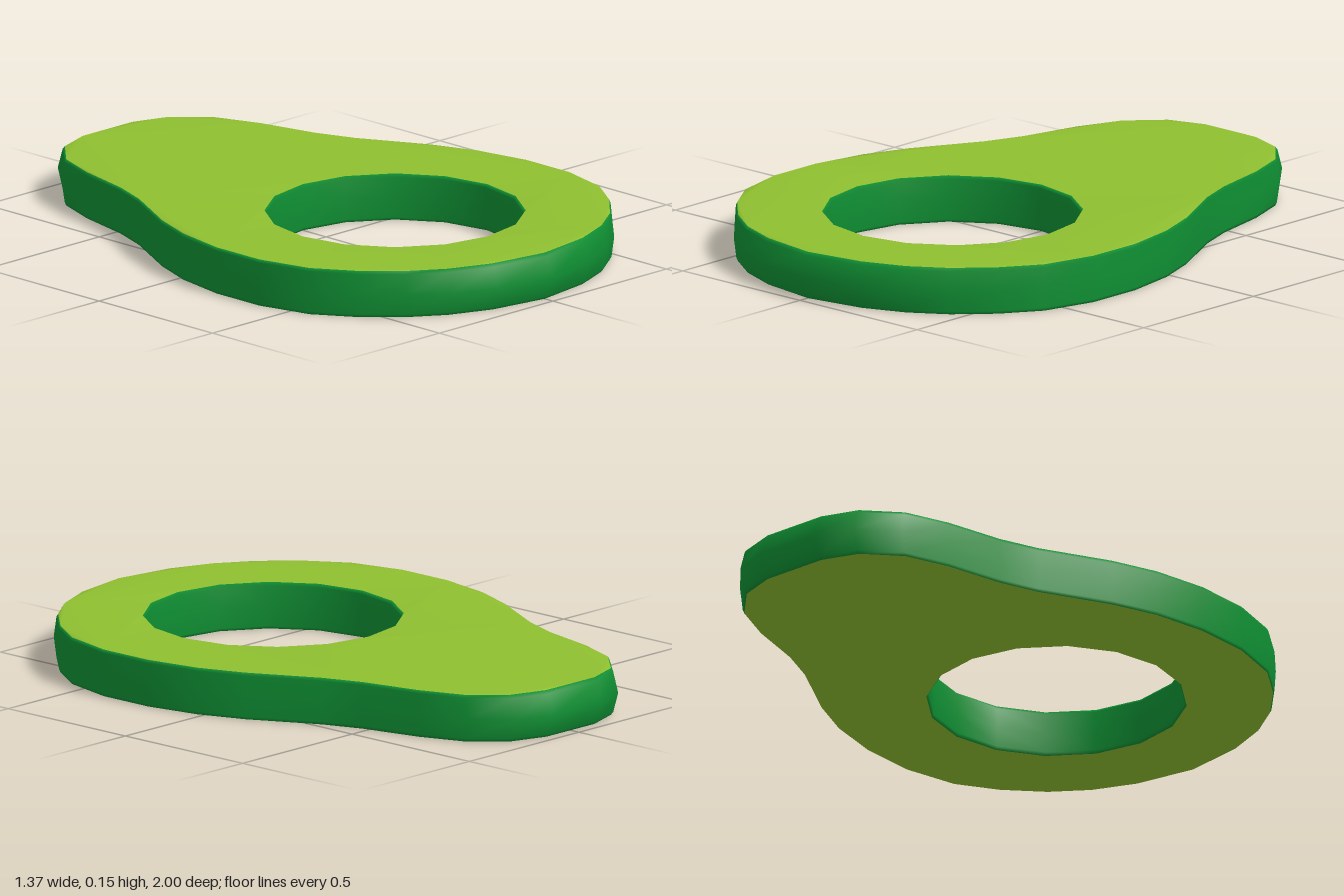
import * as THREE from 'three';

const flesh = new THREE.MeshStandardMaterial({ color: 0x8fbf30 });
flesh.name = 'lime flesh';
const skin = new THREE.MeshStandardMaterial({ color: 0x0f8f33 });
skin.name = 'green skin';

// Right half of the pear outline as [x, z], from the back to the front
const half = [
  [0.11, -1], [0.23, -0.953], [0.33, -0.835], [0.385, -0.68], [0.43, -0.48],
  [0.478, -0.35], [0.595, -0.13], [0.652, 0.02], [0.686, 0.2], [0.686, 0.39],
  [0.642, 0.57], [0.56, 0.7], [0.455, 0.815], [0.34, 0.9], [0.2, 0.963],
];
const outline = [...half, [0, 1], ...half.slice().reverse().map(([x, z]) => [-x, z])];

// Wall sections: [height, side inset, pull at both ends, hole radius]
const sections = [
  [0, 0.006, 0.036, 0.407],
  [0.01, 0, 0.026, 0.4],
  [0.075, 0, 0, 0.4],
  [0.14, 0, 0.026, 0.4],
  [0.15, 0.006, 0.036, 0.407],
];
const HOLE_SIDES = 16, HOLE_Z = 0.304;

function outerRing([, inset, pull]) {
  return outline.map(([x, z]) => new THREE.Vector2(
    x * (1 - inset), z - Math.sign(z) * pull * z ** 4));
}

function holeRing([, , , radius]) {
  return Array.from({ length: HOLE_SIDES }, (_, i) => {
    const a = (i / HOLE_SIDES) * Math.PI * 2;
    return new THREE.Vector2(radius * Math.cos(a), HOLE_Z + radius * Math.sin(a));
  });
}

function slabGeometry() {
  const n = outline.length, stride = n + HOLE_SIDES;
  const positions = [], walls = [], caps = [];

  // Each level holds the outer ring followed by the hole ring
  for (const s of sections) {
    for (const p of [...outerRing(s), ...holeRing(s)]) positions.push(p.x, s[0], p.y);
  }

  // Outer and inner walls
  const addWall = (level, start, count, inward) => {
    for (let i = 0; i < count; i++) {
      const a = level * stride + start + i;
      const b = level * stride + start + (i + 1) % count;
      const c = a + stride, d = b + stride;
      if (inward) walls.push(a, b, c, b, d, c);
      else walls.push(a, c, b, b, c, d);
    }
  };
  for (let level = 0; level < sections.length - 1; level++) {
    addWall(level, 0, n, false);
    addWall(level, n, HOLE_SIDES, true);
  }

  // Top and bottom faces around the hole
  const contour = outerRing(sections[0]), hole = holeRing(sections[0]);
  const points = [...contour, ...hole];
  const top = (sections.length - 1) * stride;
  for (const [i, j, k] of THREE.ShapeUtils.triangulateShape(contour, [hole])) {
    const facesDown = THREE.ShapeUtils.area([points[i], points[j], points[k]]) > 0;
    const [p, q] = facesDown ? [j, k] : [k, j];
    caps.push(i, p, q, top + i, top + q, top + p);
  }

  const geometry = new THREE.BufferGeometry();
  geometry.setAttribute('position', new THREE.Float32BufferAttribute(positions, 3));
  geometry.setIndex([...caps, ...walls]);
  geometry.addGroup(0, caps.length, 0);
  geometry.addGroup(caps.length, walls.length, 1);
  geometry.computeVertexNormals();
  return geometry;
}

export function createModel() {
  const group = new THREE.Group();
  group.name = 'avocadoSlice';
  const slice = new THREE.Mesh(slabGeometry(), [flesh, skin]);
  slice.name = 'slice';
  group.add(slice);
  return group;
}
